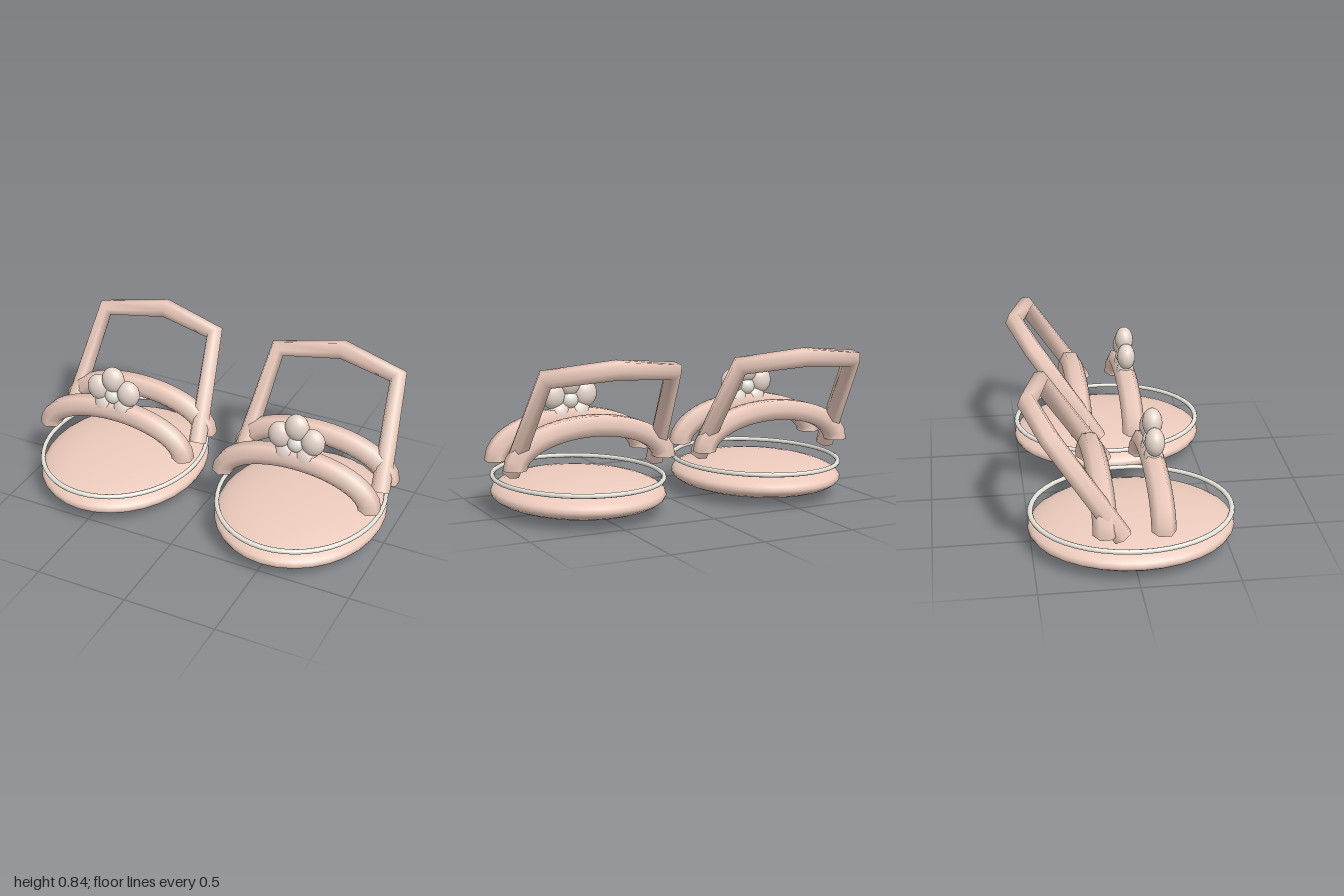
import * as THREE from 'three';

const mat = (color) => new THREE.MeshStandardMaterial({ color, side: THREE.DoubleSide });
const pink = mat(0xebcabc);
const petalPink = mat(0xe6d6cc);
const ivory = mat(0xe4e2d8);

function add(parent, name, geometry, material, position = [0, 0, 0], scale = [1, 1, 1]) {
  const mesh = new THREE.Mesh(geometry, material);
  mesh.name = name;
  mesh.position.set(...position);
  mesh.scale.set(...scale);
  parent.add(mesh);
  return mesh;
}

// Half-ellipse arch, from one side of the foot to the other
class ArchCurve extends THREE.Curve {
  getPoint(t, target = new THREE.Vector3()) {
    const a = Math.PI * (1 - t);
    return target.set(0.413 * Math.cos(a), 0.277 + 0.194 * Math.sin(a), 0);
  }
}

// Straight runs between points, with the average direction at each corner
class BentCurve extends THREE.Curve {
  constructor(points) {
    super();
    this.points = points;
  }
  getPointAt(u, target = new THREE.Vector3()) {
    const n = this.points.length - 1;
    const i = Math.min(Math.floor(u * n + 1e-6), n - 1);
    return target.lerpVectors(this.points[i], this.points[i + 1], u * n - i);
  }
  getTangentAt(u, target = new THREE.Vector3()) {
    const p = this.points;
    const i = Math.round(u * (p.length - 1));
    target.set(0, 0, 0);
    if (i > 0) target.add(p[i].clone().sub(p[i - 1]).normalize());
    if (i < p.length - 1) target.add(p[i + 1].clone().sub(p[i]).normalize());
    return target.normalize();
  }
}

function makeFlower() {
  const flower = new THREE.Group();
  flower.name = 'flower';
  const ball = new THREE.SphereGeometry(1, 20, 14);
  for (let i = 0; i < 5; i++) {
    const a = Math.PI / 2 + (i * Math.PI * 2) / 5;
    add(flower, 'petal', ball, petalPink,
      [0.095 * Math.cos(a), 0.095 * Math.sin(a), 0], [0.064, 0.073, 0.05]);
  }
  add(flower, 'flowerCentre', ball, ivory, [0, 0, 0], [0.048, 0.048, 0.048]);
  flower.position.set(0, 0.563, 0.118);
  return flower;
}

function makeSandal() {
  const sandal = new THREE.Group();

  // Cushion-like sole and the thin ring above it
  add(sandal, 'sole', new THREE.SphereGeometry(1, 32, 16), pink,
    [0, 0.098, 0.015], [0.447, 0.098, 0.53]);
  const rim = add(sandal, 'soleRim', new THREE.TorusGeometry(1, 0.028, 8, 48), ivory,
    [0, 0.183, 0.015], [0.435, 0.515, 0.45]);
  rim.rotation.x = Math.PI / 2;

  // Two arched straps
  const arch = new THREE.TubeGeometry(new ArchCurve(), 24, 0.061, 6);
  add(sandal, 'toeStrap', arch, pink, [0, 0, 0.117]);
  add(sandal, 'instepStrap', arch, pink, [0, 0, -0.166]);

  // Bent ankle strap leaning back over the heel
  const side = [[0.4, 0.253, -0.08], [0.342, 0.762, -0.415]];
  const path = [
    ...side.map(([x, y, z]) => new THREE.Vector3(-x, y, z)),
    new THREE.Vector3(0, 0.797, -0.495),
    ...side.reverse().map((p) => new THREE.Vector3(...p)),
  ];
  add(sandal, 'ankleStrap', new THREE.TubeGeometry(new BentCurve(path), 4, 0.052, 6), pink);

  sandal.add(makeFlower());
  return sandal;
}

export function createModel() {
  const model = new THREE.Group();
  model.name = 'sandals';
  for (const s of [-1, 1]) {
    const sandal = makeSandal();
    sandal.name = s < 0 ? 'rightSandal' : 'leftSandal';
    sandal.position.x = s * 0.533;
    model.add(sandal);
  }
  return model;
}
